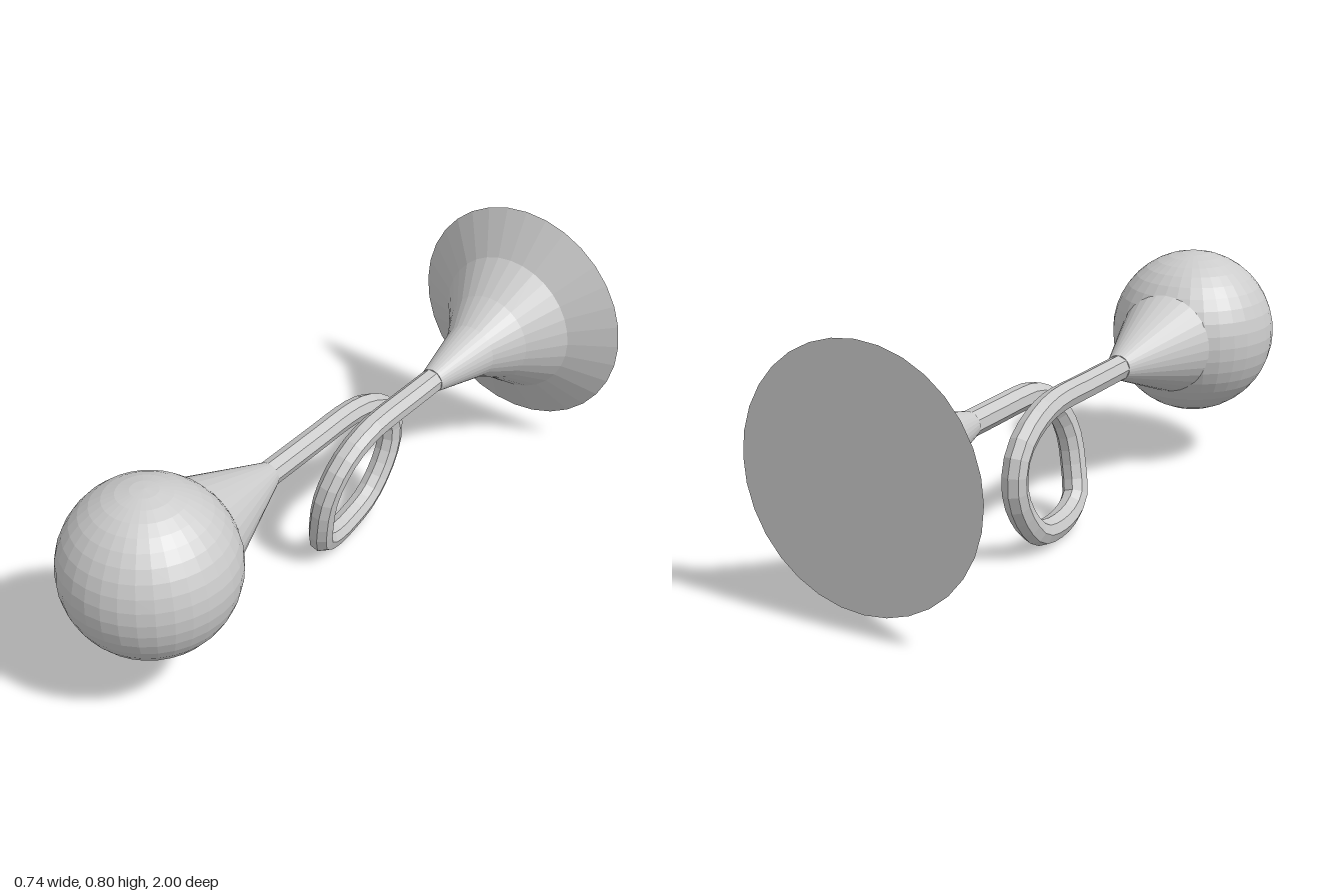
import * as THREE from 'three';

const AXIS_Y = 0.437;   // height of the horn's axis
const BULB_X = -0.1;    // sideways offset of the bulb half

export function createModel() {
  const group = new THREE.Group();
  const material = new THREE.MeshStandardMaterial({ color: 0xcccccc, flatShading: true });

  function add(name, geometry, x = 0, y = 0, z = 0) {
    const mesh = new THREE.Mesh(geometry, material);
    mesh.name = name;
    mesh.position.set(x, y, z);
    group.add(mesh);
    return mesh;
  }

  // Lathe whose axis runs along z; profile is [radius, distance towards the back]
  function latheBack(profile) {
    const points = profile.map(([r, d]) => new THREE.Vector2(r, d));
    return new THREE.LatheGeometry(points, 32).rotateX(-Math.PI / 2);
  }

  // Squeeze bulb
  add('bulb', new THREE.SphereGeometry(0.261, 32, 20), BULB_X, AXIS_Y - 0.002, 0.737);

  // Cone joining the bulb to the pipe
  add('bulbNeck', latheBack([[0, -0.53], [0.157, -0.53], [0.039, -0.215], [0, -0.215]]), BULB_X, AXIS_Y, 0);

  // Flared bell with a closed mouth
  add('bell', latheBack([
    [0, 0.48], [0.039, 0.48], [0.09, 0.695], [0.147, 0.8], [0.232, 0.915], [0.371, 1], [0, 1],
  ]), 0, AXIS_Y, 0);

  // Pipe: back from the bulb, down round one loop, then back to the bell
  const path = new THREE.CatmullRomCurve3([
    [-0.1, AXIS_Y, 0.23], [-0.1, AXIS_Y, 0], [-0.1, AXIS_Y, -0.16],
    [-0.1, 0.425, -0.24], [-0.1, 0.385, -0.33], [-0.1, 0.33, -0.385],
    [-0.1, 0.25, -0.402], [-0.1, 0.165, -0.372], [-0.1, 0.07, -0.28],
    [-0.09, 0.045, -0.16], [-0.075, 0.053, -0.05], [-0.063, 0.085, 0.012],
    [-0.045, 0.16, 0.036], [-0.028, 0.26, 0.039], [-0.015, 0.335, 0.01],
    [-0.006, 0.395, -0.05], [0, 0.43, -0.13], [0, AXIS_Y, -0.2],
    [0, AXIS_Y, -0.35], [0, AXIS_Y, -0.49],
  ].map((p) => new THREE.Vector3(...p)), false, 'centripetal');
  add('loopedPipe', new THREE.TubeGeometry(path, 44, 0.039, 8, false));

  return group;
}
